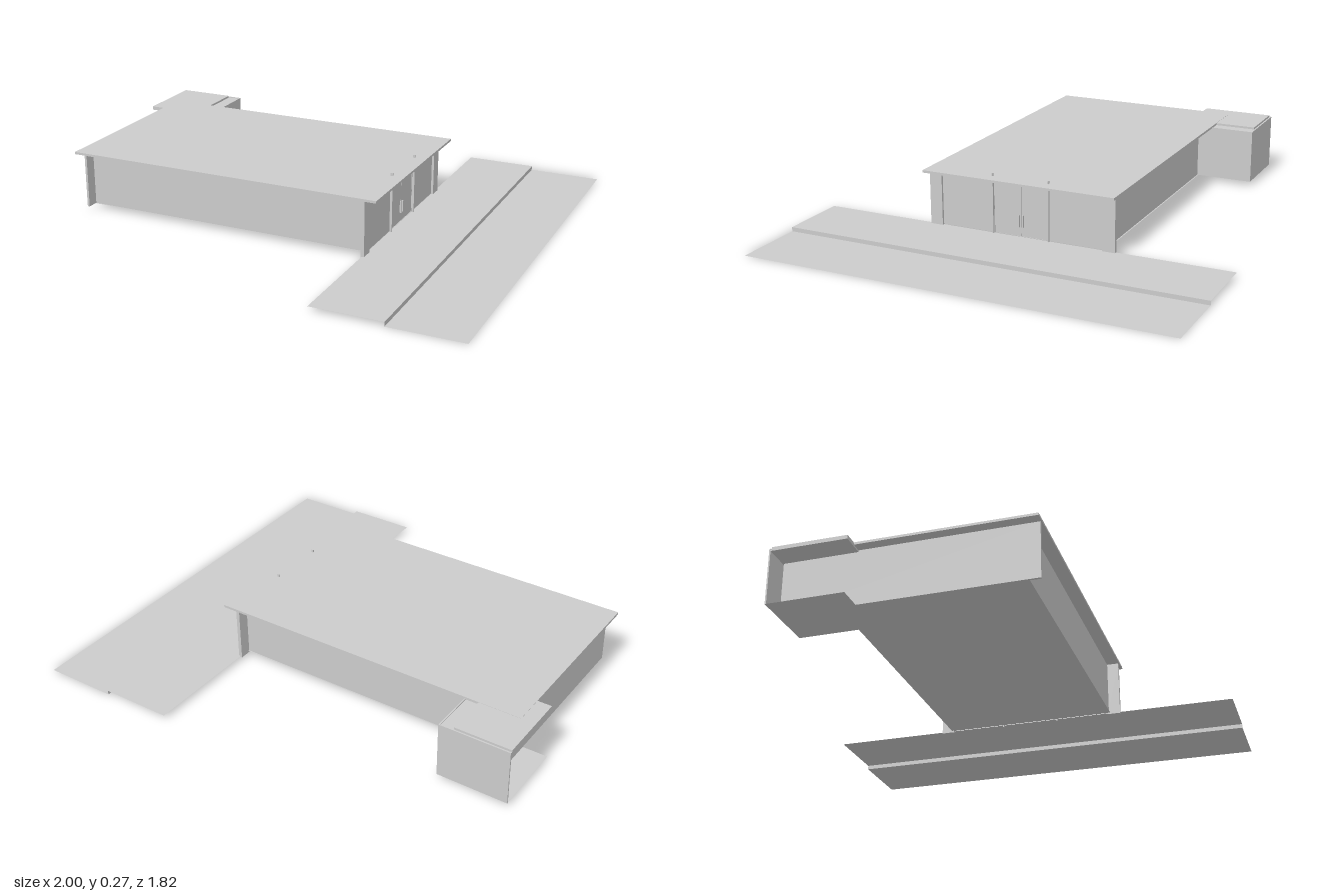
import * as THREE from 'three';

const solid = new THREE.MeshStandardMaterial({ color: 0xcccccc, flatShading: true });
const sheet = new THREE.MeshStandardMaterial({ color: 0xcccccc, flatShading: true, side: THREE.DoubleSide });

export function createModel() {
  const model = new THREE.Group();

  // Box given by its min and max on each axis
  const box = (name, [x0, x1], [y0, y1], [z0, z1], parent = model) => {
    const mesh = new THREE.Mesh(new THREE.BoxGeometry(x1 - x0, y1 - y0, z1 - z0), solid);
    mesh.position.set((x0 + x1) / 2, (y0 + y1) / 2, (z0 + z1) / 2);
    mesh.name = name;
    parent.add(mesh);
    return mesh;
  };

  // Thin horizontal sheet
  const ground = (name, [x0, x1], y, [z0, z1]) => {
    const mesh = new THREE.Mesh(new THREE.PlaneGeometry(x1 - x0, z1 - z0).rotateX(-Math.PI / 2), sheet);
    mesh.position.set((x0 + x1) / 2, y, (z0 + z1) / 2);
    mesh.name = name;
    model.add(mesh);
  };

  const FLOOR = 0.02, EAVE = 0.252, TOP = 0.262;
  const height = [FLOOR, EAVE];

  // Street, raised pavement and the curb between them
  ground('road', [0.69, 1], 0, [-0.91, 0.91]);
  ground('pavement', [0.39, 0.69], 0.018, [-0.91, 0.91]);
  const curb = new THREE.Mesh(new THREE.PlaneGeometry(1.82, 0.018).rotateY(Math.PI / 2), sheet);
  curb.position.set(0.69, 0.009, 0);
  curb.name = 'curb';
  model.add(curb);

  // Main hall: floor, long side walls, overhanging roof
  ground('hallFloor', [-0.89, 0.39], FLOOR, [-0.37, 0.37]);
  for (const s of [-1, 1]) {
    const z = s > 0 ? [0.355, 0.365] : [-0.365, -0.355];
    box('sideWall', [-0.89, 0.39], height, z);
  }
  box('roof', [-0.94, 0.45], [EAVE, TOP], [-0.43, 0.42]);

  // End walls run past the side walls as fins
  box('rearEndWall', [-0.895, -0.885], height, [-0.61, 0.415]);
  const facade = new THREE.Group();
  facade.name = 'facade';
  model.add(facade);
  for (const s of [-1, 1]) {
    const span = (a, b) => (s > 0 ? [a, b] : [-b, -a]);
    box('facadeWall', [0.383, 0.39], height, span(0.12, 0.36), facade);
    box('cornerFin', [0.385, 0.4], [0.012, EAVE], span(0.36, 0.415), facade);
    box('doorLeaf', [0.384, 0.388], height, span(0.001, 0.12), facade);
    box('doorPost', [0.39, 0.4], [0.012, 0.274], span(0.122, 0.127), facade);
    box('doorHandle', [0.388, 0.396], [0.06, 0.11], span(0.006, 0.011), facade);
  }

  // Rear annex, open towards the end of the hall
  ground('annexFloor', [-1, -0.7], FLOOR, [-0.62, -0.3]);
  box('annexBackWall', [-1, -0.7], [FLOOR, 0.255], [-0.62, -0.614]);
  box('annexSideWall', [-0.706, -0.7], [FLOOR, 0.255], [-0.62, -0.36]);
  box('annexCeiling', [-1, -0.7], [0.245, 0.252], [-0.62, -0.3]);
  box('annexRoof', [-1, -0.76], [0.252, 0.261], [-0.61, -0.3]);

  return model;
}
